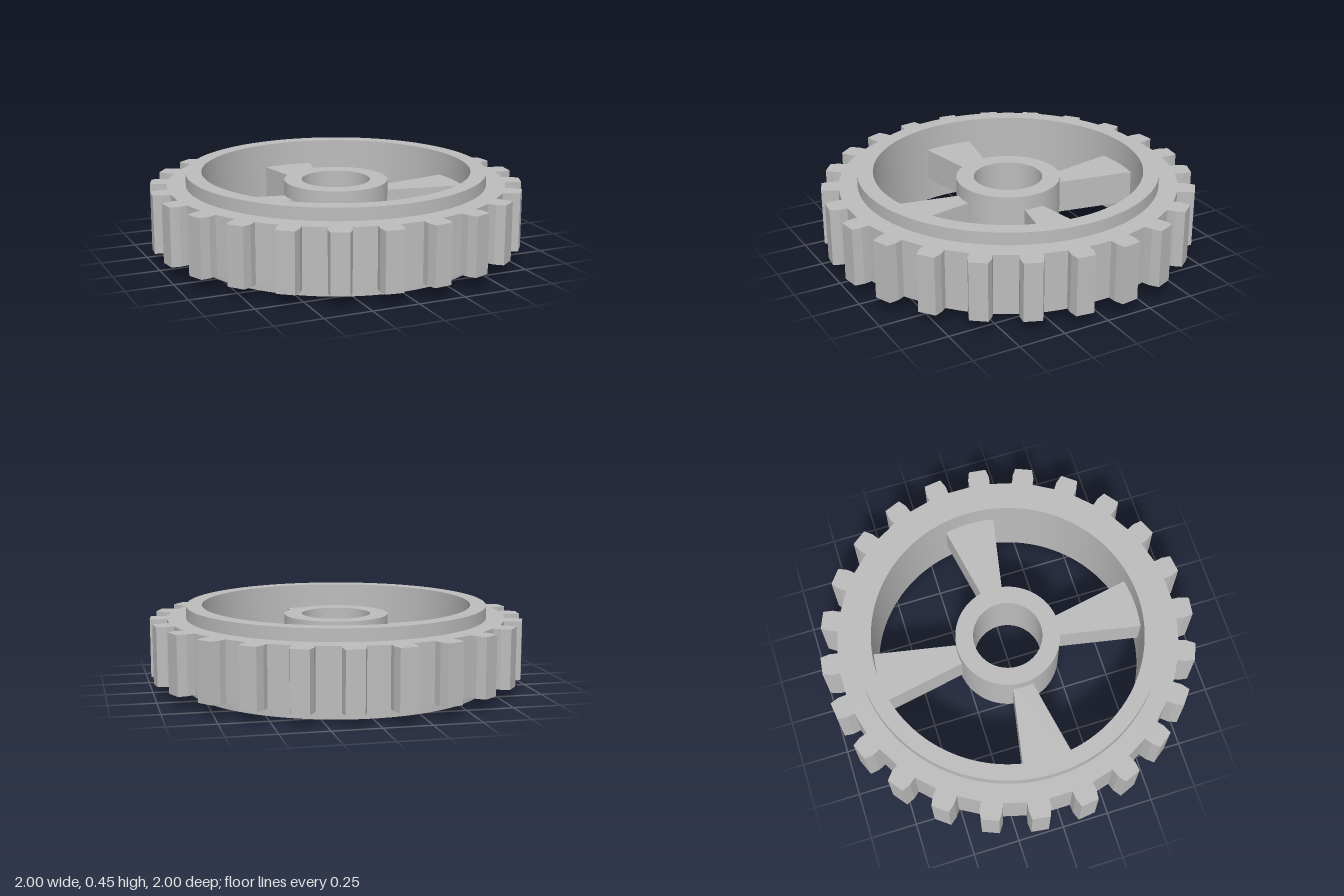
import * as THREE from 'three';
import { toCreasedNormals } from 'three/addons/utils/BufferGeometryUtils.js';

const TEETH = 24;
const MID = 0.225; // height of the gear's middle plane

export function createModel() {
  const group = new THREE.Group();
  const steel = new THREE.MeshStandardMaterial({ color: 0xbcbcbc });
  steel.name = 'grey steel';

  // Extrudes a plan outline upward, centred on the middle plane
  function slab(shape, height) {
    const geo = new THREE.ExtrudeGeometry(shape, { depth: height, bevelEnabled: false, curveSegments: 96 });
    geo.rotateX(-Math.PI / 2);
    geo.translate(0, MID - height / 2, 0);
    return geo;
  }

  function add(name, geo) {
    const mesh = new THREE.Mesh(geo, steel);
    mesh.name = name;
    group.add(mesh);
    return mesh;
  }

  function circleHole(shape, radius) {
    shape.holes.push(new THREE.Path().absarc(0, 0, radius, 0, Math.PI * 2, true));
  }

  function ring(outer, inner, height) {
    const shape = new THREE.Shape().absarc(0, 0, outer, 0, Math.PI * 2, false);
    circleHole(shape, inner);
    return toCreasedNormals(slab(shape, height), 0.4);
  }

  // Toothed band: each tooth given as [radius, degrees from its centre line]
  const tooth = [
    [0.912, -3.55], [0.955, -3.55], [1.0035, -2.7],
    [1.0035, 2.7], [0.955, 3.55], [0.912, 3.55],
  ];
  const outline = [];
  for (let i = 0; i < TEETH; i++) {
    for (const [r, offset] of tooth) {
      const a = THREE.MathUtils.degToRad((i + 0.5) * 360 / TEETH + offset);
      outline.push(new THREE.Vector2(r * Math.cos(a), r * Math.sin(a)));
    }
  }
  const band = new THREE.Shape(outline);
  circleHole(band, 0.79);
  add('toothedBand', slab(band, 0.315));

  // Rim standing proud of the teeth, and the bored hub
  add('rim', ring(0.81, 0.725, 0.45));
  add('hub', ring(0.28, 0.185, 0.335));

  // Four spokes widening toward the rim
  const spoke = slab(new THREE.Shape([
    new THREE.Vector2(0.25, -0.05), new THREE.Vector2(0.74, -0.143),
    new THREE.Vector2(0.74, 0.143), new THREE.Vector2(0.25, 0.05),
  ]), 0.18);
  for (let i = 0; i < 4; i++) {
    add('spoke' + (i + 1), spoke).rotation.y = i * Math.PI / 2;
  }

  return group;
}
